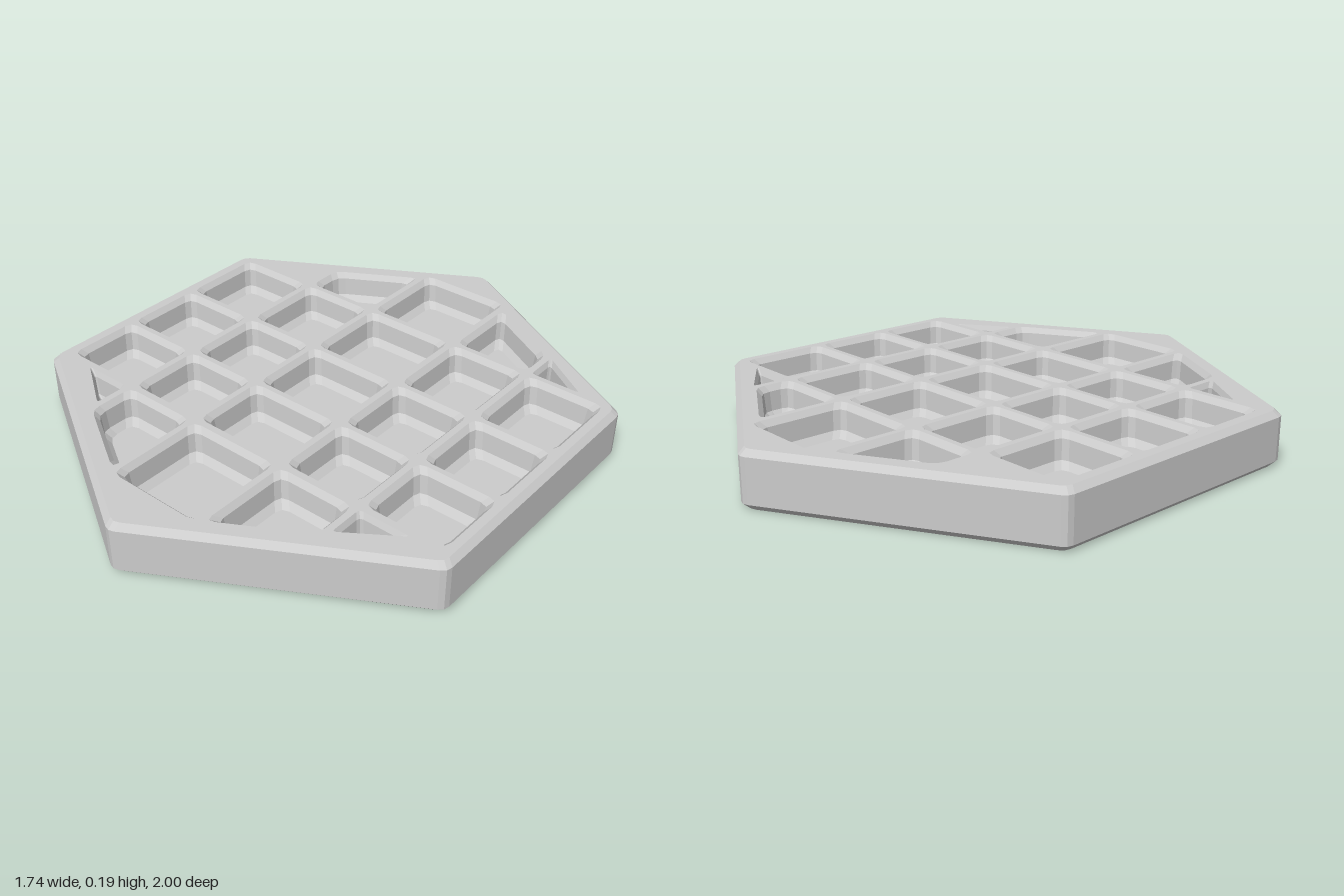
import * as THREE from 'three';

const H = 0.195, FLOOR = 0.085;
const material = new THREE.MeshStandardMaterial({ color: 0xcccccc, flatShading: true });

// Loops are convex lists of [x, z], ordered from +x towards +z.
const v2 = (loop, flip = 1) => loop.map(([x, z]) => new THREE.Vector2(x, z * flip));
const ordered = loop => THREE.ShapeUtils.area(v2(loop)) < 0 ? loop.slice().reverse() : loop;

// Move every edge of a convex loop inwards by d
function inset(loop, d) {
  const n = loop.length;
  const edge = i => {
    const [ax, az] = loop[i], [bx, bz] = loop[(i + 1) % n];
    const l = Math.hypot(bx - ax, bz - az), nx = (az - bz) / l, nz = (bx - ax) / l;
    return [nx, nz, nx * ax + nz * az + d];
  };
  return loop.map((_, i) => {
    const [a, b, c] = edge((i + n - 1) % n), [e, f, g] = edge(i), det = a * f - b * e;
    return [(c * f - b * g) / det, (a * g - c * e) / det];
  });
}

// Replace each corner by a short three-point curve
function rounded(loop, cut) {
  const n = loop.length;
  return loop.flatMap((p, i) => {
    const ends = [loop[(i + n - 1) % n], loop[(i + 1) % n]].map(q => {
      const t = Math.min(cut / Math.hypot(q[0] - p[0], q[1] - p[1]), 0.3);
      return [p[0] + (q[0] - p[0]) * t, p[1] + (q[1] - p[1]) * t];
    });
    const mid = [0, 1].map(k => p[k] * 0.5 + (ends[0][k] + ends[1][k]) * 0.25);
    return [ends[0], mid, ends[1]];
  });
}

function addMesh(group, name, geometry) {
  const mesh = new THREE.Mesh(geometry, material);
  mesh.name = name;
  group.add(mesh);
}

// Side faces through stacked loops: rising gives outer walls, falling gives pocket walls
function walls(rings) {
  const pos = [];
  for (let k = 0; k < rings.length - 1; k++) {
    const a = rings[k], b = rings[k + 1], n = a.loop.length;
    for (let i = 0; i < n; i++) {
      const j = (i + 1) % n;
      const at = (r, m) => [r.loop[m][0], r.y, r.loop[m][1]];
      pos.push(...at(a, i), ...at(b, i), ...at(a, j), ...at(a, j), ...at(b, i), ...at(b, j));
    }
  }
  const g = new THREE.BufferGeometry();
  g.setAttribute('position', new THREE.Float32BufferAttribute(pos, 3));
  g.computeVertexNormals();
  return g;
}

// Flat face at height y, facing up or down, optionally with holes
function cap(loop, y, up = true, holes = []) {
  const s = up ? -1 : 1;
  const shape = new THREE.Shape(v2(loop, s));
  shape.holes = holes.map(h => new THREE.Path(v2(h, s)));
  return new THREE.ShapeGeometry(shape).rotateX(s * Math.PI / 2).translate(0, y, 0);
}

// Outlines of all pockets at the top surface
function pocketOutlines() {
  const cols = [[-0.815, -0.51], [-0.487, -0.197], [-0.175, 0.182], [0.206, 0.5], [0.524, 0.82]];
  const rows = [[-0.85, -0.5], [-0.48, -0.16], [-0.14, 0.15], [0.17, 0.445], [0.47, 0.825]];
  const out = [];
  rows.forEach(([z0, z1], r) => cols.forEach(([x0, x1], c) => {
    const end = r === 0 ? -1 : r === 4 ? 1 : 0;
    if (!end || c === 2) {
      out.push([[x0, z0], [x1, z0], [x1, z1], [x0, z1]]);
      return;
    }
    if (r === 0 && c === 0) return; // this corner is left solid
    const side = c < 2 ? -1 : 1;
    const a = Math.min(Math.abs(x0), Math.abs(x1)), b = Math.max(Math.abs(x0), Math.abs(x1));
    const near = end < 0 ? -z1 : z0;
    const slant = x => 0.923 - x / Math.sqrt(3);
    const pts = c === 1 || c === 3
      ? [[a, near], [b, near], [b, slant(b)], [a, slant(a)]]
      : [[a, near], [a + 0.19, near], [a, near + 0.13]];
    out.push(pts.map(([x, z]) => [x * side, z * end]));
  }));
  return out.map(ordered);
}

export function createModel() {
  const model = new THREE.Group();
  model.name = 'hexagonalTile';

  // Hexagon with points on the z axis
  const hex = ordered(Array.from({ length: 6 }, (_, i) => {
    const t = Math.PI / 6 + i * Math.PI / 3;
    return [Math.cos(t) * 1.005, Math.sin(t) * 1.005];
  }));
  const outer = d => rounded(inset(hex, d), 0.022);
  const pockets = pocketOutlines();
  const corner = p => p.length === 3 ? 0.015 : 0.032;

  // Outer shell with chamfered rims
  addMesh(model, 'outerWall', walls([
    { loop: outer(0.022), y: 0 }, { loop: outer(0), y: 0.022 },
    { loop: outer(0), y: H - 0.02 }, { loop: outer(0.02), y: H },
  ]));
  addMesh(model, 'underside', cap(outer(0.022), 0, false));
  addMesh(model, 'topGrid', cap(outer(0.02), H, true, pockets.map(p => rounded(p, corner(p)))));

  // Pockets: chamfered lip, drafted wall, bevelled floor
  pockets.forEach((p, i) => {
    const k = p.length === 3 ? 0.55 : 1;
    const ring = (d, y) => ({ loop: rounded(inset(p, d * k), corner(p)), y });
    const floor = ring(0.045, FLOOR);
    const pocket = new THREE.Group();
    pocket.name = `pocket${i + 1}`;
    addMesh(pocket, 'pocketWall', walls([
      ring(0, H), ring(0.017, H - 0.02), ring(0.023, FLOOR + 0.022), floor,
    ]));
    addMesh(pocket, 'pocketFloor', cap(floor.loop, FLOOR));
    model.add(pocket);
  });
  return model;
}
